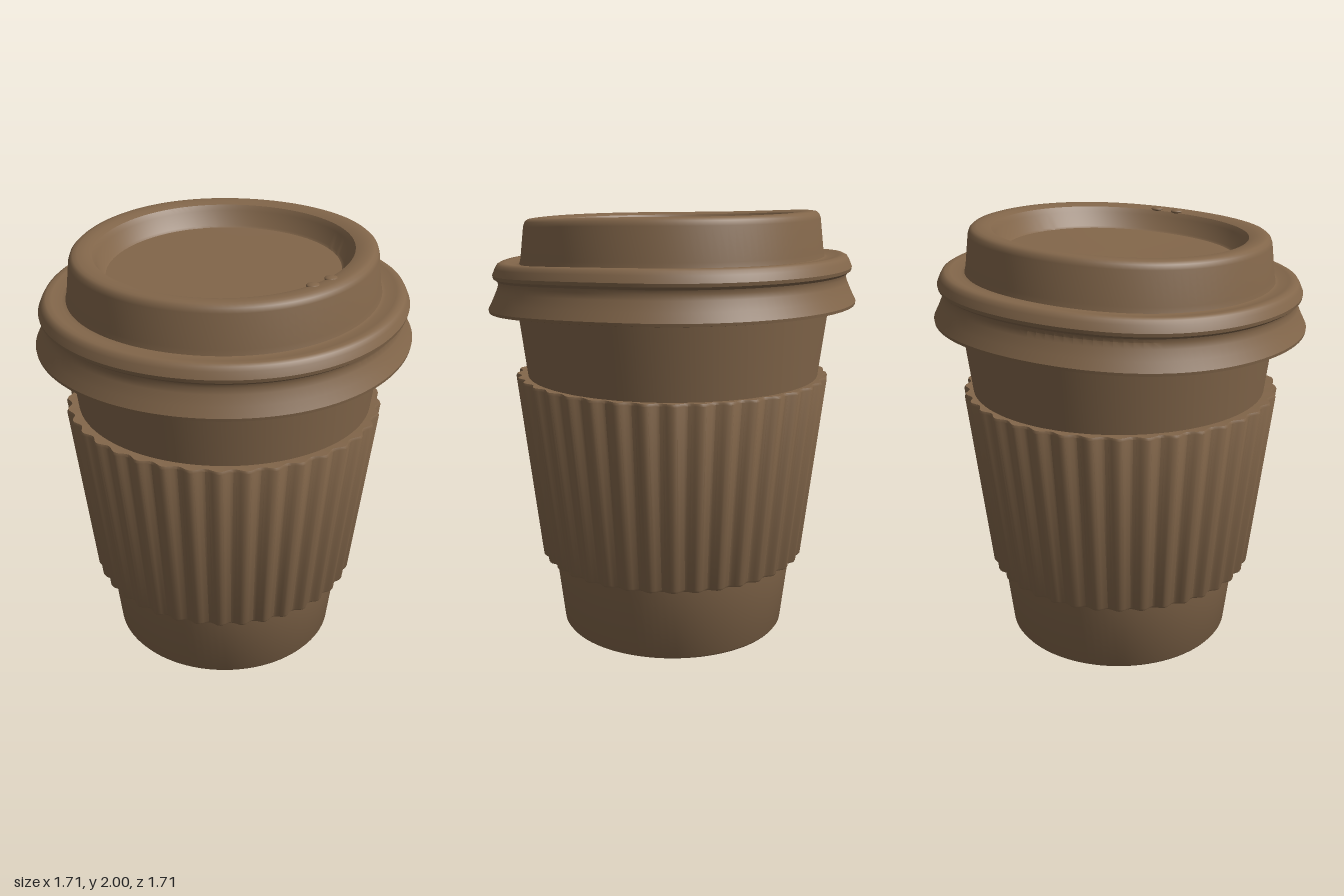
import * as THREE from 'three';
import { toCreasedNormals } from 'three/addons/utils/BufferGeometryUtils.js';

const brown = new THREE.MeshStandardMaterial({ color: 0x82664a });
brown.name = 'brown';

// Lathe a profile, move its vertices by a rule, keep sharp corners sharp
function turned(name, profile, segments, rule) {
  const points = profile.map(([r, y]) => new THREE.Vector2(r, y));
  const geometry = new THREE.LatheGeometry(points, segments);
  const position = geometry.attributes.position;
  const v = new THREE.Vector3();
  if (rule) {
    for (let i = 0; i < position.count; i++) {
      v.fromBufferAttribute(position, i);
      rule(v, i % profile.length);
      position.setXYZ(i, v.x, v.y, v.z);
    }
  }
  const mesh = new THREE.Mesh(toCreasedNormals(geometry, 0.6), brown);
  mesh.name = name;
  return mesh;
}

// Lid height offset: lower at the front, easing up to the back
const lidSlope = (z) => -0.022 * Math.sin(THREE.MathUtils.clamp(z / 0.6, -1, 1) * Math.PI / 2);

export function createModel() {
  const model = new THREE.Group();
  model.name = 'lidded cup';

  // Tapered cup with a recessed base
  const cup = turned('cup', [
    [0, 0.08], [0.51, 0.08], [0.515, 0.01], [0.522, 0], [0.53, 0], [0.539, 0.012],
    [0.58, 0.36], [0.687, 1.24], [0.725, 1.54], [0.742, 1.71], [0.72, 1.73], [0, 1.73],
  ], 96);
  cup.position.z = -0.018;

  // Corrugated sleeve: only the outer wall is rippled
  const ribs = 38;
  const sleeve = turned('sleeve', [
    [0.57, 0.37], [0.622, 0.36], [0.628, 0.37], [0.729, 1.232], [0.724, 1.243], [0.675, 1.24],
  ], ribs * 8, (v, row) => {
    if (row === 0 || row === 5) return;
    const angle = Math.atan2(v.x, v.z);
    const scale = 1 + 0.011 * Math.sin(angle * ribs) / Math.hypot(v.x, v.z);
    v.x *= scale;
    v.z *= scale;
  });
  sleeve.position.z = -0.01;

  // Lid: flared skirt, groove, rolled flange, raised dome and sunken centre
  const lid = new THREE.Group();
  lid.name = 'lid';
  lid.position.z = -0.01;
  lid.add(turned('lidShell', [
    [0.72, 1.69], [0.775, 1.68], [0.79, 1.66], [0.832, 1.57], [0.842, 1.56],
    [0.853, 1.562], [0.855, 1.575], [0.835, 1.615], [0.815, 1.66], [0.807, 1.685],
    [0.812, 1.702], [0.83, 1.715], [0.833, 1.73], [0.82, 1.76], [0.81, 1.777],
    [0.795, 1.785], [0.77, 1.784], [0.725, 1.772], [0.708, 1.776], [0.702, 1.8],
    [0.685, 1.945], [0.678, 1.965], [0.665, 1.976], [0.645, 1.979], [0.61, 1.978],
    [0.58, 1.968], [0.563, 1.945], [0.535, 1.88], [0.525, 1.872], [0.35, 1.872], [0, 1.872],
  ], 128, (v) => { v.y += lidSlope(v.z); }));

  // Two small raised dots on the lid rim
  for (const [x, z] of [[0.59, 0.11], [0.56, 0.21]]) {
    const dot = new THREE.Mesh(new THREE.SphereGeometry(0.03, 20, 12), brown);
    dot.name = 'lidDot';
    dot.scale.y = 0.35;
    dot.position.set(x, 1.973 + lidSlope(z), z);
    lid.add(dot);
  }

  model.add(cup, sleeve, lid);
  return model;
}
